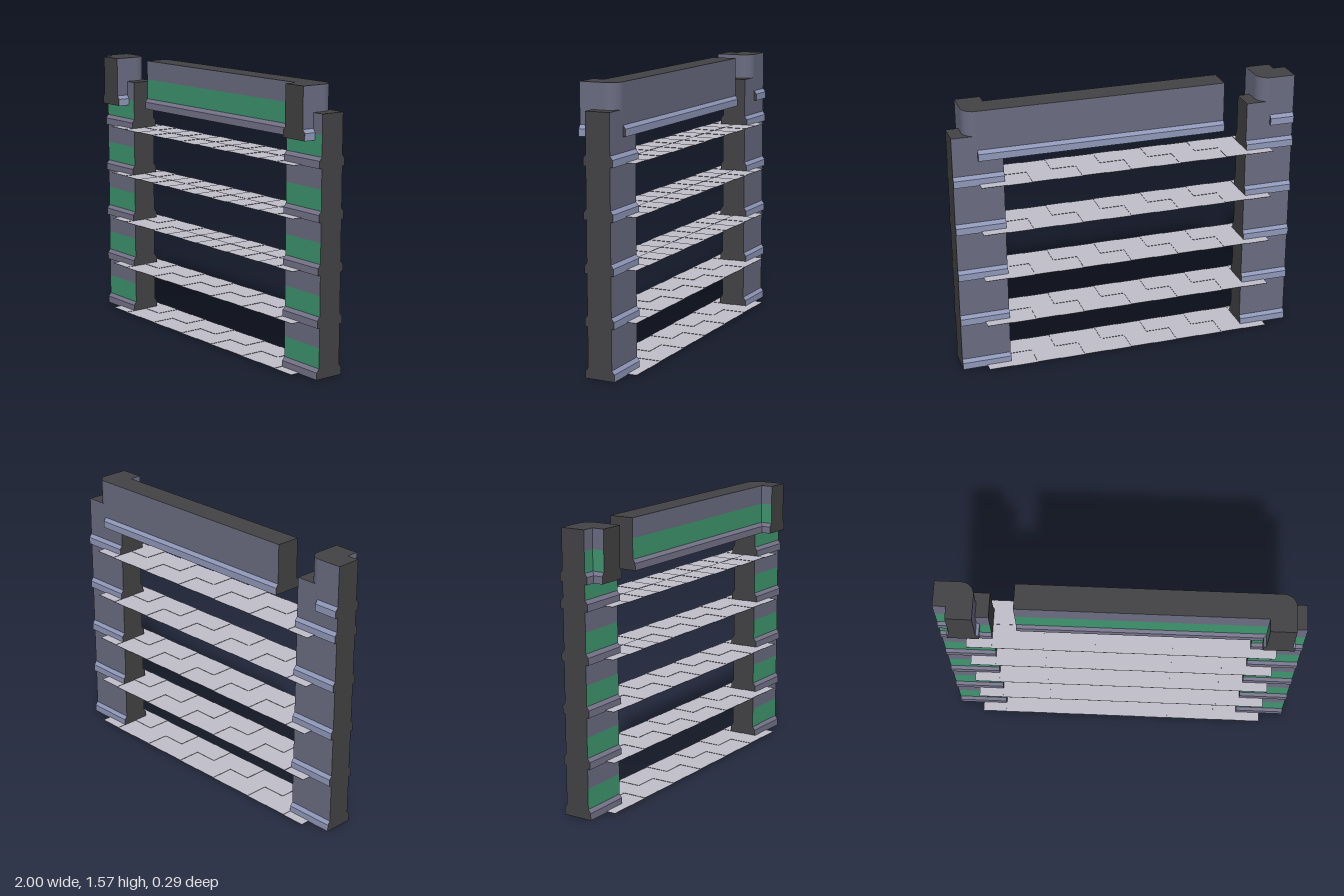
import * as THREE from 'three';

const paint = (name, color) => {
  const m = new THREE.MeshStandardMaterial({ color });
  m.name = name;
  return m;
};

export function createModel() {
  const slate = paint('slate wall', 0x6b6d82);
  const green = paint('green band', 0x3f966f);
  const dark = paint('dark cut end', 0x434244);
  const frontTrim = paint('front skirting', 0x76748a);
  const backTrim = paint('back skirting', 0x9199bb);
  const tileTop = paint('floor tile', 0xc0beca);
  const tileUnder = paint('floor underside', 0xbcbcbc);

  const U = 1 / 7;            // half a tile module
  const STOREY = 2 * U;
  const T = U / 2;            // half the wall thickness
  const TRIM = 0.06, BAND = 0.175;
  const model = new THREE.Group();

  const group = (name) => {
    const g = new THREE.Group();
    g.name = name;
    model.add(g);
    return g;
  };
  const add = (parent, name, geo, mat, x = 0, y = 0, z = 0) => {
    const m = new THREE.Mesh(geo, mat);
    m.name = name;
    m.position.set(x, y, z);
    parent.add(m);
    return m;
  };
  // Box from ranges; materials in order +x, -x, +y, -y, +z, -z
  const box = (parent, name, [x0, x1], [y0, y1], [z0, z1], mats) =>
    add(parent, name, new THREE.BoxGeometry(x1 - x0, y1 - y0, z1 - z0), mats,
      (x0 + x1) / 2, (y0 + y1) / 2, (z0 + z1) / 2);

  // Wall block stacked in three painted bands: face(m) lists the box materials
  const banded = (parent, xs, y, zs, face) => {
    const cuts = [0, TRIM, BAND, STOREY];
    [slate, green, slate].forEach((m, i) =>
      box(parent, 'wallBand', xs, [y + cuts[i], y + cuts[i + 1]], zs, face(m)));
  };

  // Chamfered skirting, outward along local x, turned about y
  const profile = new THREE.Shape([[-0.004, 0], [0.0155, 0], [0.0155, 0.04], [0, TRIM], [-0.004, TRIM]]
    .map(([x, y]) => new THREE.Vector2(x, y)));
  const skirting = (parent, len, mat, x, y, z, angle) => {
    const geo = new THREE.ExtrudeGeometry(profile, { depth: len, bevelEnabled: false });
    geo.translate(0, 0, -len / 2);
    add(parent, 'skirting', geo, [dark, mat], x, y, z).rotation.y = angle;
  };
  const FRONT = -Math.PI / 2, BACK = Math.PI / 2;

  // Two wall columns of five storeys
  for (const [name, x0, x1] of [['rightColumn', -1, -5 * U], ['leftColumn', 5 * U, 1]]) {
    const g = group(name);
    for (let i = 0; i < 5; i++) {
      const y = i * STOREY, mid = (x0 + x1) / 2;
      banded(g, [x0, x1], y, [-T, T], (m) => [dark, dark, dark, slate, m, slate]);
      skirting(g, x1 - x0, frontTrim, mid, y, T, FRONT);
      skirting(g, x1 - x0, backTrim, mid, y, -T, BACK);
    }
  }

  // Thin tiled floors, neighbouring tiles stepped very slightly
  for (let i = 0; i < 5; i++) {
    const g = group('floor');
    for (let c = 0; c < 12; c++) for (let r = 0; r < 2; r++) {
      const x = (c - 6) * U, z = (r - 1) * U;
      const y = i * STOREY + 0.003 + 0.002 * ((c + r) % 2);
      box(g, 'floorTile', [x, x + U], [y, y + 0.002], [z, z + U],
        [dark, dark, tileTop, tileUnder, dark, dark]);
    }
  }

  // Top wall with a rounded outer corner and a short leg turning forward
  const cornerWall = (name, start, centre) => {
    const g = group(name), y = 4.5 * STOREY;
    const W = T + 0.001, inner = centre - T, outer = centre + T;
    banded(g, [start, centre], y, [-W, W], (m) => [slate, dark, dark, slate, m, slate]);
    banded(g, [inner, outer], y, [W, U], (m) => [slate, m, dark, slate, dark, slate]);
    box(g, 'cornerBlock', [centre, outer], [y, y + STOREY], [0, W],
      [slate, slate, dark, slate, slate, slate]);
    const round = new THREE.CylinderGeometry(T, T, STOREY, 12, 1, false, Math.PI / 2, Math.PI / 2);
    round.scale(1, 1, W / T);
    add(g, 'roundedCorner', round, [slate, dark, slate], centre, y + U, 0);
    skirting(g, inner - start, frontTrim, (start + inner) / 2, y, W, FRONT);
    skirting(g, centre - start, backTrim, (start + centre) / 2, y, -W, BACK);
    skirting(g, U - W, frontTrim, inner, y, (U + W) / 2, Math.PI);
    skirting(g, U, backTrim, outer, y, U / 2, 0);
  };
  cornerWall('topWall', -4 * U, 6 * U);
  cornerWall('topCornerStub', -1, -6 * U);

  return model;
}
